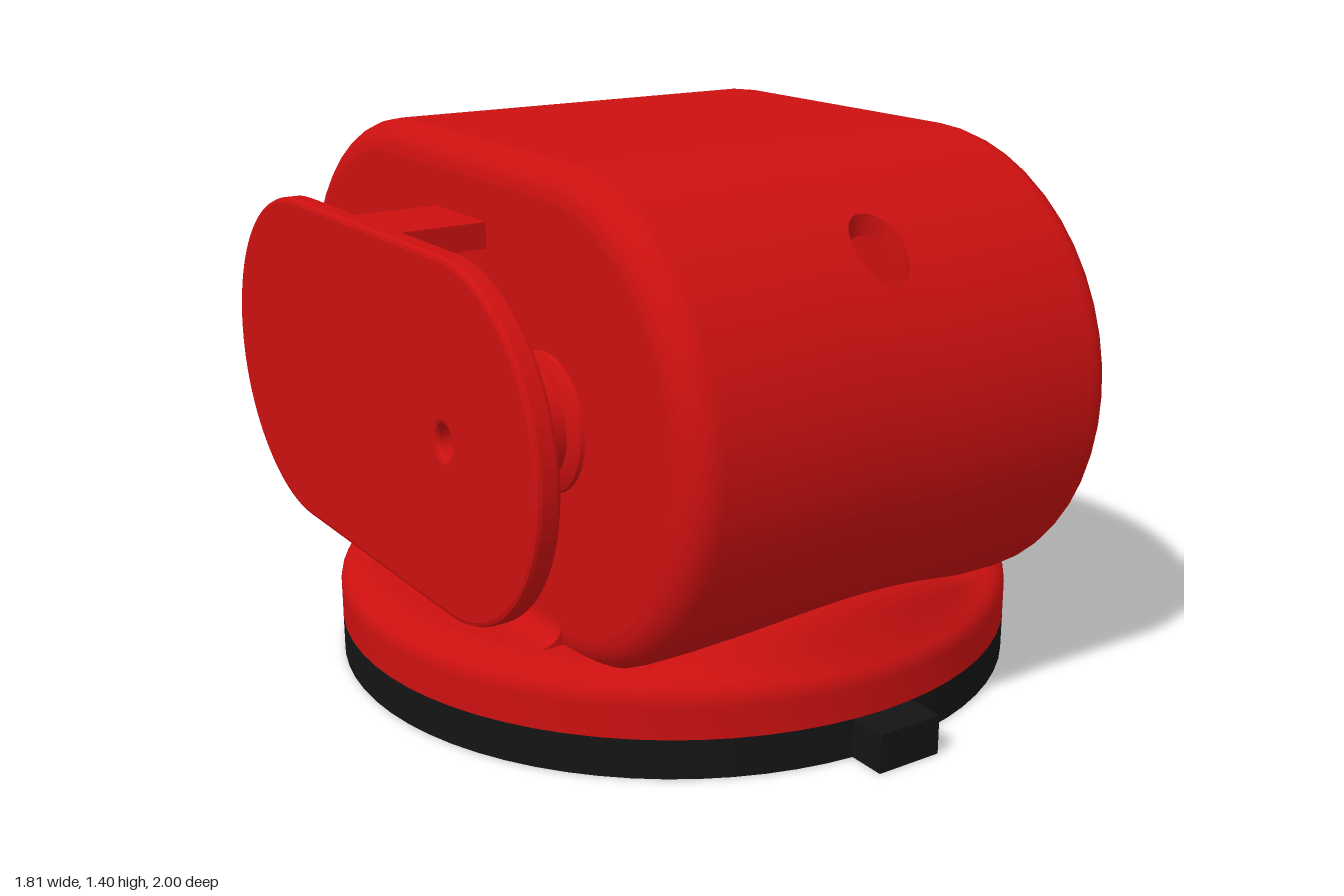
import * as THREE from 'three';

const V = (x, y, z) => new THREE.Vector3(x, y, z);
const TAU = Math.PI * 2;

export function createModel() {
  const group = new THREE.Group();
  const red = new THREE.MeshStandardMaterial({ color: 0xcc1010, side: THREE.DoubleSide });
  const black = new THREE.MeshStandardMaterial({ color: 0x141414, side: THREE.DoubleSide });

  const add = (name, geo, mat = red) => {
    const mesh = new THREE.Mesh(geo, mat);
    mesh.name = name;
    group.add(mesh);
    return mesh;
  };
  const box = (name, x0, x1, y0, y1, z0, z1, mat) =>
    add(name, new THREE.BoxGeometry(x1 - x0, y1 - y0, z1 - z0)
      .translate((x0 + x1) / 2, (y0 + y1) / 2, (z0 + z1) / 2), mat);

  // Surface through closed rings of points; skip(i, j) leaves cells open
  const loft = (rings, skip = () => false) => {
    const n = rings[0].length, index = [];
    for (let i = 0; i < rings.length - 1; i++) {
      for (let j = 0; j < n; j++) {
        if (skip(i, j)) continue;
        const a = i * n + j, b = i * n + (j + 1) % n;
        index.push(a, b, a + n, b, b + n, a + n);
      }
    }
    const geo = new THREE.BufferGeometry().setFromPoints(rings.flat());
    geo.setIndex(index);
    geo.computeVertexNormals();
    return geo;
  };

  // Housing: rounded stadium shell, hollow, open to the base
  const STEPS = 24, R = 0.6, CZ = 0.4, CY = 0.8;
  const stadiumRing = (inset, x) => {
    const pts = [];
    for (const side of [0, 1]) {
      for (let k = 0; k <= STEPS; k++) {
        const a = Math.PI * (side + k / STEPS);
        pts.push(V(x, CY + (R - inset) * Math.cos(a), (side ? -CZ : CZ) + (R - inset) * Math.sin(a)));
      }
    }
    return pts;
  };
  const shell = (name, half) => {
    const profile = [...half.map(([s, x]) => [s, -x]), ...half.slice().reverse()];
    const mid = half.length - 1;
    add(name, loft(profile.map(([s, x]) => stadiumRing(s, x)), (i, j) => {
      const accessHole = i === mid && ((j >= 4 && j <= 8) || (j >= 40 && j <= 44));
      const bottom = i >= mid - 1 && i <= mid + 1 && j >= 21 && j <= 27;
      return accessHole || bottom;
    }));
  };
  const rounding = [];
  for (let k = 0; k <= 6; k++) {
    const a = (k / 6) * Math.PI / 2;
    rounding.push([0.08 * (1 - Math.sin(a)), 0.54 + 0.08 * Math.cos(a)]);
  }
  shell('housingOuterWall', [...rounding, [0, 0.1]]);
  shell('housingInnerWall', [[0.08, 0.56], [0.04, 0.52], [0.04, 0.1]]);

  // Vertical access holes through the curved front and back walls
  const HOLE_Z = 0.83, N = 32;
  const surfaceY = (r, z) => CY + Math.sqrt(Math.max(0, r * r - (z - CZ) ** 2));
  const holeRing = (r, t) => Array.from({ length: N }, (_, j) => {
    const c = Math.cos(j / N * TAU), s = Math.sin(j / N * TAU), m = Math.max(Math.abs(c), Math.abs(s));
    const z0 = CZ + r * Math.sin(Math.PI / 6), z1 = CZ + r * Math.sin(Math.PI * 0.375);
    const x = THREE.MathUtils.lerp(0.07 * c, 0.1 * c / m, t);
    const z = THREE.MathUtils.lerp(HOLE_Z + 0.07 * s, (z0 + z1) / 2 + (z1 - z0) / 2 * s / m, t);
    return V(x, surfaceY(r, z), z);
  });
  for (const turn of [0, Math.PI]) {
    for (const r of [0.6, 0.56]) {
      const geo = loft([0, 0.33, 0.67, 1].map(t => holeRing(r, t)));
      const p = geo.attributes.position;
      for (let i = 0; i < p.count; i++) {
        geo.attributes.normal.setXYZ(i, 0, (p.getY(i) - CY) / r, (p.getZ(i) - CZ) / r);
      }
      add('accessHoleSurround', geo.rotateY(turn));
    }
    add('accessHoleBore', loft([holeRing(0.6, 0), holeRing(0.56, 0)]).rotateY(turn));
  }

  // Side slabs: drawn in (-z, y), extruded along x
  const circle = (x, y, r) => new THREE.Path().absarc(x, y, r, 0, TAU);
  const stadium = r => new THREE.Shape()
    .absarc(CZ, CY, r, -Math.PI / 2, Math.PI / 2)
    .absarc(-CZ, CY, r, Math.PI / 2, Math.PI * 1.5);
  const slab = (name, shape, x0, depth, bevel = 0) =>
    add(name, new THREE.ExtrudeGeometry(shape, {
      depth: depth - 2 * bevel, curveSegments: 24, bevelEnabled: bevel > 0,
      bevelSize: bevel, bevelThickness: bevel, bevelOffset: -bevel, bevelSegments: 2,
    }).rotateY(Math.PI / 2).translate(x0 + bevel, 0, 0));
  for (const x0 of [-0.62, 0.56]) {
    const wall = stadium(0.52);
    wall.holes.push(circle(CZ, CY, 0.33), circle(-CZ, CY, 0.04));
    slab('housingSideWall', wall, x0, 0.06);
  }

  // Pivot stubs with collars and a through bore
  const turned = (name, pts, dir, z) =>
    add(name, new THREE.LatheGeometry(
      pts.flatMap(([r, y]) => [new THREE.Vector2(r, y), new THREE.Vector2(r, y)]), 40)
      .rotateZ(-dir * Math.PI / 2).translate(0, CY, z));
  for (const [dir, tip] of [[1, 0.82], [-1, 0.84]]) {
    turned('pivotStub', [[0.17, 0.615], [0.165, 0.63], [0.145, 0.64], [0.13, 0.645],
      [0.13, tip], [0.04, tip], [0.04, 0.56]], dir, CZ);
  }

  // Outer cover plate with its peg and bridges to the housing
  const plate = stadium(0.425);
  plate.holes.push(circle(-CZ, CY, 0.04));
  slab('coverPlate', plate, -0.89, 0.06, 0.012);
  turned('coverPeg', [[0.13, -0.84], [0.13, -0.73], [0.075, -0.73], [0.075, -0.84]], 1, -CZ);
  box('upperBridge', -0.85, -0.6, 1.16, 1.224, -0.13, 0.125);
  box('lowerBridge', -0.85, -0.6, 0.376, 0.43, -0.13, 0.125);

  // Red base: round flange whose top sweeps up to meet the housing
  const rise = z => Math.max(0.255, CY - Math.sqrt(0.36 - Math.max(0, Math.abs(z) - CZ) ** 2));
  const baseRing = (r, yAt) => Array.from({ length: 72 }, (_, j) => {
    const a = j / 72 * TAU, s = -Math.sin(a);
    return V(r * Math.cos(a), yAt(s), r * s);
  });
  const base = [baseRing(0.905, () => 0.1), baseRing(0.905, () => 0.18)];
  for (let k = 0; k <= 6; k++) {
    const a = (k / 6) * Math.PI / 2, t = 1 - Math.cos(a);
    base.push(baseRing(0.905 - 0.085 * t, s =>
      Math.max(0.19 + 0.065 * Math.sin(a), 0.19 + (rise(0.82 * s) - 0.19) * t)));
  }
  base.push(baseRing(0.7, s => rise(0.7 * s)), baseRing(0.6, () => 0.255));
  add('baseFlange', loft(base));
  add('baseInnerWall', new THREE.CylinderGeometry(0.6, 0.6, 0.155, 72, 1, true).translate(0, 0.1775, 0));
  add('baseFloor', new THREE.RingGeometry(0.6, 0.9, 72).rotateX(-Math.PI / 2).translate(0, 0.105, 0));

  // Fillets between housing sides and base
  const fillet = new THREE.Shape();
  fillet.moveTo(0.57, 0.24).lineTo(0.69, 0.24).lineTo(0.69, 0.255)
    .quadraticCurveTo(0.625, 0.255, 0.62, 0.31).lineTo(0.57, 0.31);
  for (const turn of [0, Math.PI]) {
    add('baseFillet', new THREE.ExtrudeGeometry(fillet, { depth: 0.9, bevelEnabled: false })
      .translate(0, 0, -0.45).rotateY(turn));
  }

  // Black mounting disc: bolt ring, recessed centre with curved slot and hub
  const disc = (name, shape, y0) =>
    add(name, new THREE.ExtrudeGeometry(shape, { depth: 0.1 - y0, bevelEnabled: false, curveSegments: 36 })
      .rotateX(-Math.PI / 2).translate(0, y0, 0), black);
  const boltHoles = (shape, radius, size) => {
    for (let k = 0; k < 8; k++) {
      const a = k / 8 * TAU;
      shape.holes.push(circle(radius * Math.cos(a), radius * Math.sin(a), size));
    }
  };
  const rim = new THREE.Shape().absarc(0, 0, 0.905, 0, TAU);
  rim.holes.push(circle(0, 0, 0.72));
  boltHoles(rim, 0.83, 0.035);
  disc('mountingRim', rim, 0);

  const centre = new THREE.Shape().absarc(0, 0, 0.72, 0, TAU);
  const s0 = -Math.PI / 4, s1 = Math.PI * 1.25, mid = 0.43;
  centre.holes.push(new THREE.Path()
    .absarc(0, 0, 0.53, s0, s1, false)
    .absarc(mid * Math.cos(s1), mid * Math.sin(s1), 0.1, s1, s1 + Math.PI, false)
    .absarc(0, 0, 0.33, s1, s0, true)
    .absarc(mid * Math.cos(s0), mid * Math.sin(s0), 0.1, s0 + Math.PI, s0 + TAU, false));
  centre.holes.push(circle(0, 0, 0.12));
  boltHoles(centre, 0.23, 0.025);
  disc('mountingCentre', centre, 0.015);

  // Locating tab at the front
  box('locatingTab', -0.09, 0.09, 0, 0.1, 0.88, 1, black);

  return group;
}
